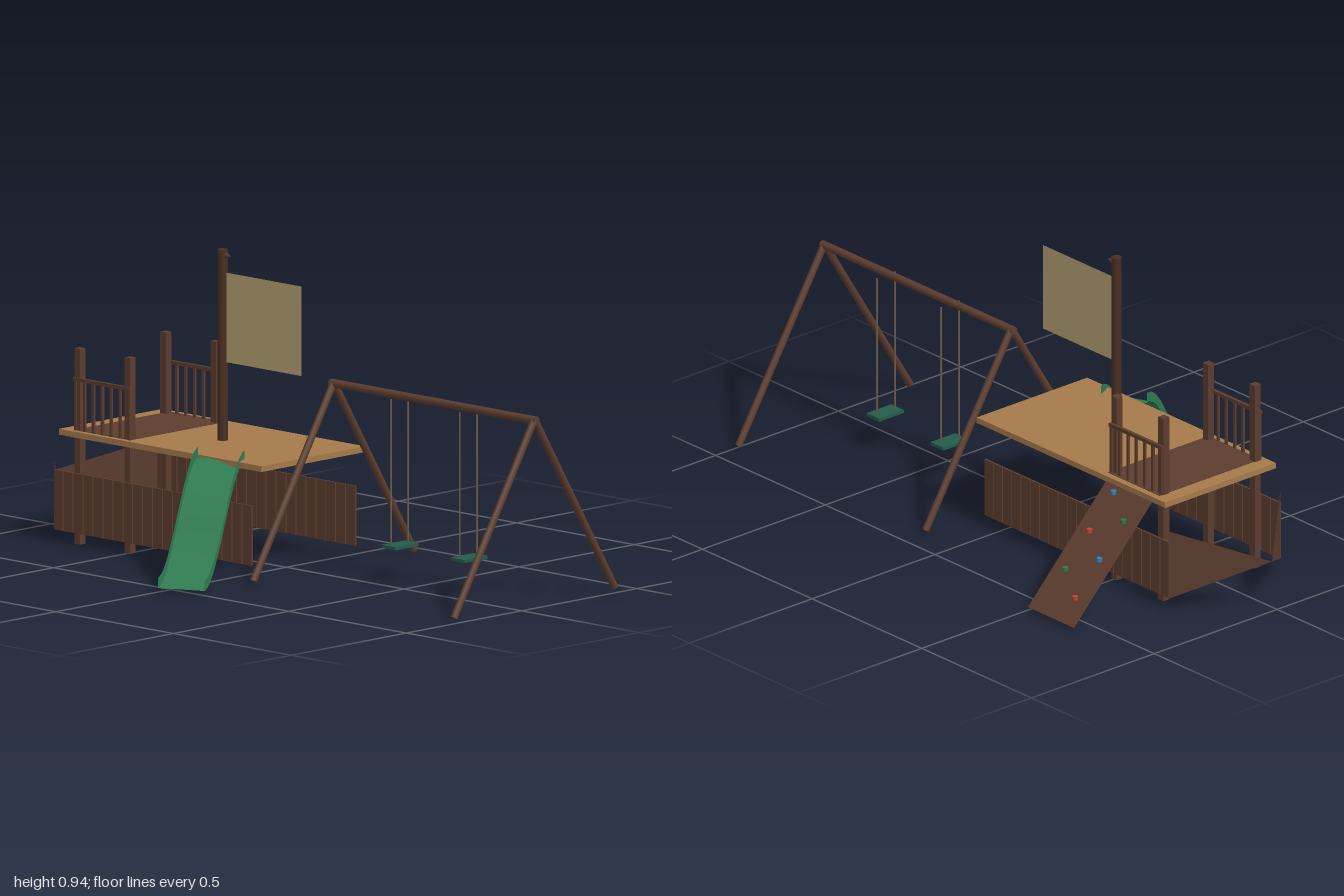
import * as THREE from 'three';

const mat = (name, color, side = THREE.FrontSide) => {
  const m = new THREE.MeshStandardMaterial({ color, side });
  m.name = name;
  return m;
};

export function createModel() {
  const root = new THREE.Group();
  root.name = 'shipPlayground';
  const timber = mat('brown timber', 0x5c3d2f, THREE.DoubleSide);
  const darkTimber = mat('dark timber', 0x4a2e22);
  const deckWood = mat('deck wood', 0xa67a4a);
  const canvas = mat('sail canvas', 0xb5a173, THREE.DoubleSide);
  const slideGreen = mat('slide green', 0x2e7d52, THREE.DoubleSide);
  const seatGreen = mat('seat green', 0x235c4a);
  const ropeTan = mat('rope', 0x6e5c45);
  const red = mat('red hold', 0xc8402f);
  const blue = mat('blue hold', 0x2f7fc0);
  const green = mat('green hold', 0x2f7a4a);

  const add = (name, geo, m, x = 0, y = 0, z = 0) => {
    const mesh = new THREE.Mesh(geo, m);
    mesh.name = name;
    mesh.position.set(x, y, z);
    root.add(mesh);
    return mesh;
  };
  const box = (name, m, w, h, d, x, y, z) => add(name, new THREE.BoxGeometry(w, h, d), m, x, y, z);
  // Round bar between two points
  const bar = (name, m, r, a, b, sides = 10) => {
    const p = new THREE.Vector3(...a), q = new THREE.Vector3(...b);
    const dir = q.clone().sub(p);
    const mesh = add(name, new THREE.CylinderGeometry(r, r, dir.length(), sides), m);
    mesh.position.copy(p).add(q).multiplyScalar(0.5);
    mesh.quaternion.setFromUnitVectors(new THREE.Vector3(0, 1, 0), dir.normalize());
    return mesh;
  };
  // Open sheet through rows of points
  const sheet = (rows) => {
    const n = rows[0].length, index = [];
    for (let i = 0; i < rows.length - 1; i++) {
      for (let j = 0; j < n - 1; j++) {
        const a = i * n + j, b = a + n;
        index.push(a, b, a + 1, a + 1, b, b + 1);
      }
    }
    const geo = new THREE.BufferGeometry();
    geo.setAttribute('position', new THREE.Float32BufferAttribute(rows.flat(2), 3));
    geo.setIndex(index);
    const flat = geo.toNonIndexed();
    flat.computeVertexNormals();
    return flat;
  };

  // Deck and the tower floor laid on it
  box('deck', deckWood, 0.86, 0.018, 0.45, -0.34, 0.343, -0.025);
  box('towerFloor', timber, 0.235, 0.003, 0.41, -0.603, 0.352, -0.024);

  // Tower posts
  for (const x of [-0.713, -0.5]) {
    for (const z of [0.167, -0.205]) box('towerPost', timber, 0.024, 0.605, 0.024, x, 0.3025, z);
  }

  // Railings on the front and back of the tower
  for (const z of [0.18, -0.22]) {
    box('topRail', timber, 0.24, 0.011, 0.011, -0.605, 0.51, z);
    for (let i = 0; i < 7; i++) {
      box('railPicket', timber, 0.009, 0.155, 0.007, -0.718 + i * 0.0377, 0.428, z);
    }
  }

  // Hull planks along both sides
  for (const z of [0.203, -0.247]) {
    for (let i = 0; i < 20; i++) {
      box('hullPlank', timber, 0.038, 0.185, 0.007, -0.767 + i * 0.0422, 0.1325, z);
    }
  }

  // Bow: two triangular panels meeting at the tip
  for (const z of [0.205, -0.247]) {
    const geo = new THREE.BufferGeometry();
    geo.setAttribute('position', new THREE.Float32BufferAttribute(
      [-0.785, 0.26, z, -1, 0.165, -0.021, -0.785, 0.038, z], 3));
    if (z < 0) geo.setIndex([0, 2, 1]);
    geo.computeVertexNormals();
    add('bowPanel', geo, timber);
  }

  // Mast, sail and small pennant
  bar('mast', darkTimber, 0.016, [-0.29, 0, -0.02], [-0.29, 0.942, -0.02], 12);
  add('sail', new THREE.PlaneGeometry(0.32, 0.277), canvas, -0.115, 0.733, -0.02);
  const pennant = add('pennant', new THREE.ConeGeometry(0.012, 0.026, 4), timber, -0.264, 0.924, -0.02);
  pennant.rotation.z = -Math.PI / 2;

  // Climbing wall with holds
  add('climbingWall', sheet([
    [[-0.711, 0.335, -0.25], [-0.5, 0.335, -0.25]],
    [[-0.711, 0.01, -0.568], [-0.5, 0.01, -0.568]],
  ]), timber);
  [blue, green, red, blue, green, red].forEach((m, i) => {
    add('climbingHold', new THREE.CylinderGeometry(0.009, 0.009, 0.012, 8), m,
      i % 2 ? -0.655 : -0.555, 0.321 - i * 0.049, -0.268 - i * 0.0492);
  });

  // Slide: a trough swept down an S curve, turned toward the left
  const rows = [], steps = 24, length = 0.378;
  for (let i = 0; i <= steps; i++) {
    const t = i / steps;
    const y = 0.347 - 0.335 * t * t * (3 - 2 * t);
    rows.push([[-0.075, 0.032], [-0.075, 0], [0.075, 0], [0.075, 0.032]]
      .map(([u, h]) => [u, y + h, t * length]));
  }
  const slide = add('slide', sheet(rows), slideGreen, -0.0975, 0, 0.1825);
  slide.rotation.y = 0.448;

  // Swing frame
  bar('swingBeam', timber, 0.013, [0.12, 0.577, -0.071], [0.995, 0.577, -0.071]);
  for (const x of [0.132, 0.985]) {
    for (const z of [0.278, -0.42]) bar('swingLeg', timber, 0.0115, [x, 0.58, -0.071], [x, 0.013, z]);
  }

  // Swings
  for (const x of [0.412, 0.704]) {
    box('swingSeat', seatGreen, 0.058, 0.01, 0.1, x, 0.113, -0.074);
    for (const z of [-0.108, -0.034]) bar('swingRope', ropeTan, 0.003, [x, 0.113, z], [x, 0.57, z], 6);
  }
  return root;
}
